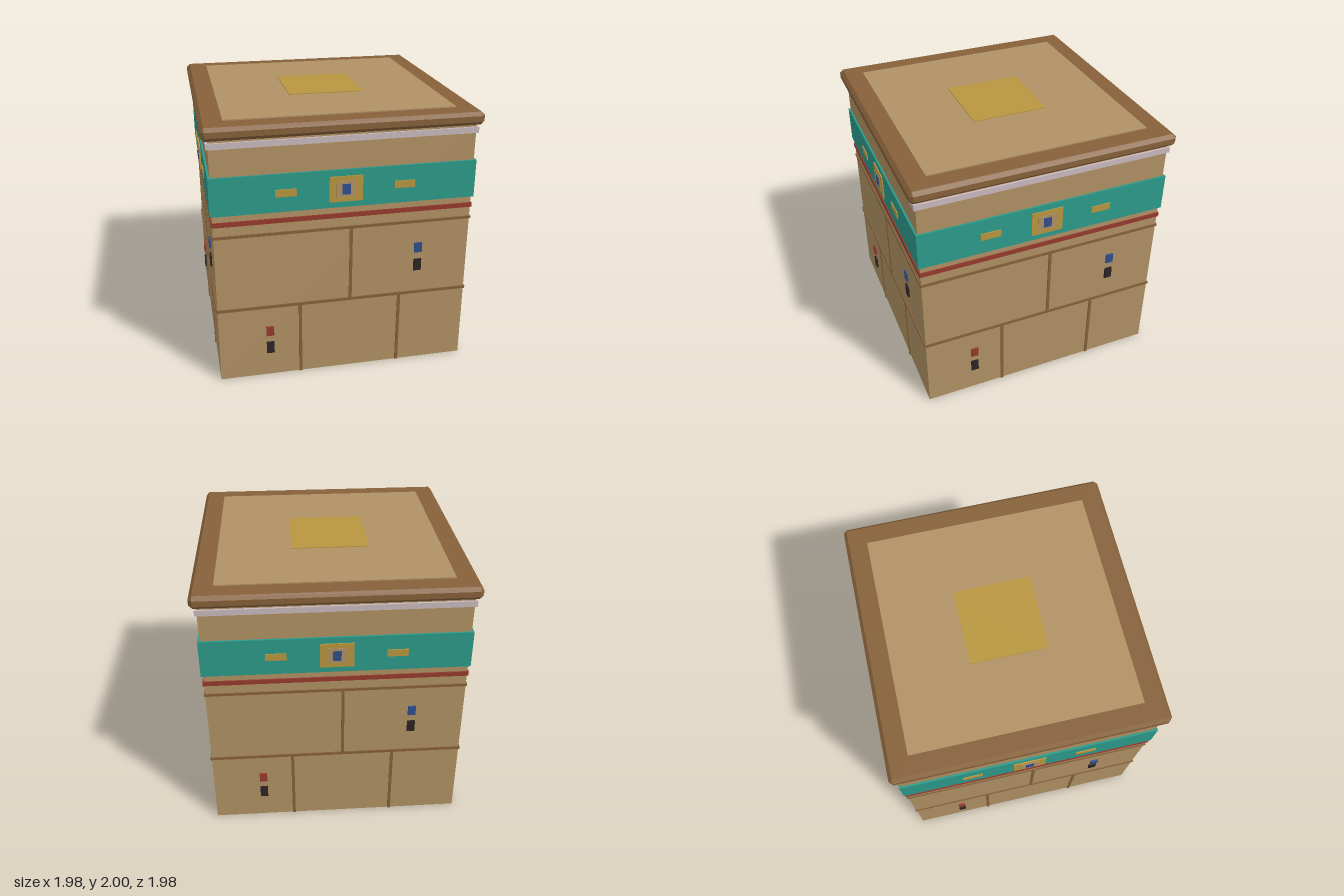
import * as THREE from 'three';
import { ConvexGeometry } from 'three/addons/geometries/ConvexGeometry.js';

const mat = (name, color) => new THREE.MeshStandardMaterial({ name, color });

export function createModel() {
  const sand = mat('sandstone', 0xb09164);
  const brown = mat('brown', 0x86613a);
  const teal = mat('teal', 0x2c9a8a);
  const gold = mat('gold', 0xb8963f);
  const blue = mat('blue', 0x2f4e8c);
  const red = mat('red', 0x963a2d);
  const black = mat('black', 0x2b2424);
  const pale = mat('paleLilac', 0xc9b9bd);

  const model = new THREE.Group();
  model.name = 'stoneBlock';

  const add = (parent, name, geometry, material) => {
    const mesh = new THREE.Mesh(geometry, material);
    mesh.name = name;
    parent.add(mesh);
    return mesh;
  };

  // Square slab centred on the axis, from y0 to y1
  const slab = (name, half, y0, y1, material) => {
    const mesh = add(model, name, new THREE.BoxGeometry(half * 2, y1 - y0, half * 2), material);
    mesh.position.y = (y0 + y1) / 2;
  };

  // Core and the bands around it
  slab('body', 0.942, 0, 1.9, sand);
  slab('lowerCourseJoint', 0.95, 0.578, 0.6, brown);
  slab('upperCourseJoint', 0.95, 1.167, 1.188, brown);
  slab('redBand', 0.951, 1.26, 1.295, red);
  slab('tealBand', 0.957, 1.345, 1.627, teal);
  slab('paleBand', 0.957, 1.83, 1.873, pale);

  // Cap with all edges chamfered
  const w = 0.988, h = 0.047, c = 0.026;
  const corners = [];
  for (const x of [-1, 1]) for (const y of [-1, 1]) for (const z of [-1, 1]) {
    corners.push(
      new THREE.Vector3(x * w, y * (h - c), z * (w - c)),
      new THREE.Vector3(x * (w - c), y * h, z * (w - c)),
      new THREE.Vector3(x * (w - c), y * (h - c), z * w),
    );
  }
  add(model, 'cap', new ConvexGeometry(corners), brown).position.y = 1.939;
  slab('topPanel', 0.827, 1.97, 1.994, sand);
  slab('topInlay', 0.285, 1.98, 2, gold);

  // Details of one wall, repeated on all four sides
  // [name, centre x, width, bottom, top, outer face, material]
  const details = [
    ['jointLowerLeft', -0.333, 0.023, 0, 0.58, 0.95, brown],
    ['jointLowerRight', 0.425, 0.023, 0, 0.58, 0.95, brown],
    ['jointUpper', 0.046, 0.022, 0.6, 1.17, 0.95, brown],
    ['redMark', -0.562, 0.057, 0.345, 0.42, 0.956, red],
    ['lowerBlackMark', -0.562, 0.057, 0.195, 0.288, 0.956, black],
    ['blueMark', 0.557, 0.057, 0.928, 1.004, 0.956, blue],
    ['upperBlackMark', 0.557, 0.057, 0.778, 0.87, 0.956, black],
    ['goldBarLeft', -0.427, 0.15, 1.46, 1.514, 0.965, gold],
    ['goldBarRight', 0.427, 0.15, 1.46, 1.514, 0.965, gold],
    ['medallion', 0, 0.24, 1.39, 1.58, 0.966, gold],
    ['medallionInset', 0, 0.14, 1.425, 1.545, 0.97, sand],
    ['medallionGem', 0, 0.06, 1.446, 1.524, 0.974, blue],
  ];
  ['front', 'left', 'back', 'right'].forEach((side, i) => {
    const wall = new THREE.Group();
    wall.name = side + 'WallDetails';
    wall.rotation.y = i * Math.PI / 2;
    for (const [name, x, width, y0, y1, out, material] of details) {
      const depth = out - 0.93;
      add(wall, name, new THREE.BoxGeometry(width, y1 - y0, depth), material)
        .position.set(x, (y0 + y1) / 2, out - depth / 2);
    }
    model.add(wall);
  });

  return model;
}
